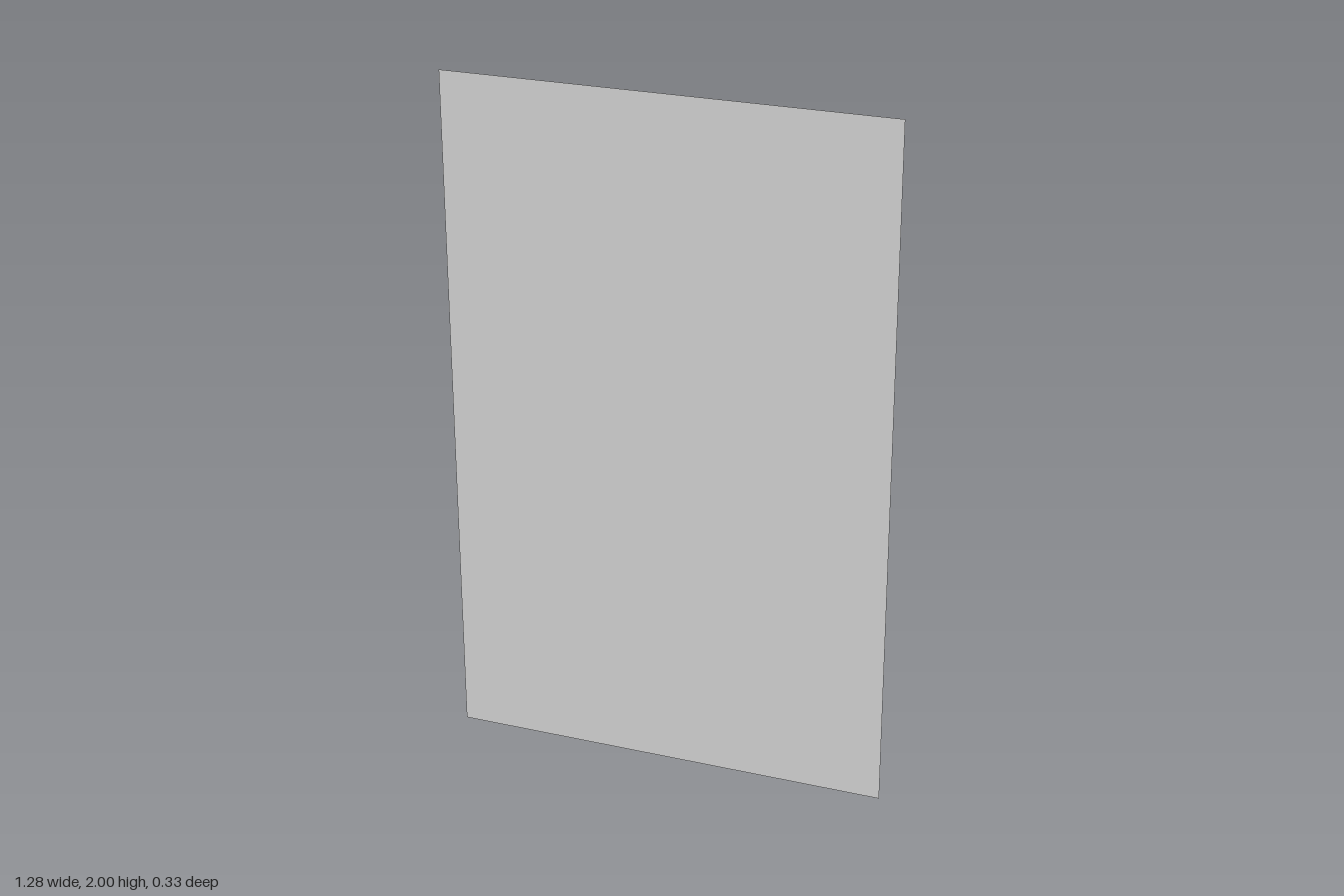
import * as THREE from 'three';

const mat = new THREE.MeshStandardMaterial({ color: 0xcccccc, side: THREE.DoubleSide });
const V = (a) => new THREE.Vector3(...a);

function add(parent, name, geo, pos = [0, 0, 0]) {
  const m = new THREE.Mesh(geo, mat);
  m.name = name;
  m.position.set(...pos);
  parent.add(m);
  return m;
}
const box = (p, name, size, pos) => add(p, name, new THREE.BoxGeometry(...size), pos);

// straight square or round bar between two points
function bar(parent, name, a, b, r, sides = 8) {
  const p = V(a), d = V(b).sub(p);
  const m = add(parent, name, new THREE.CylinderGeometry(r, r, d.length(), sides));
  m.position.copy(p).addScaledVector(d, 0.5);
  m.quaternion.setFromUnitVectors(new THREE.Vector3(0, 1, 0), d.normalize());
  return m;
}
const tube = (parent, name, pts, r) =>
  add(parent, name, new THREE.TubeGeometry(new THREE.CatmullRomCurve3(pts.map(V)), 16, r, 6));

function polygon(pts) {
  return new THREE.Shape(pts.map((p) => new THREE.Vector2(...p)));
}
function punch(shape, xs, ys, r) {
  for (const x of xs) for (const y of ys) {
    const h = new THREE.Path();
    h.absarc(x, y, r, 0, Math.PI * 2, true);
    shape.holes.push(h);
  }
}
const extrude = (shape, depth) =>
  new THREE.ExtrudeGeometry(shape, { depth, bevelEnabled: false, curveSegments: 8 });

// tyre, rim and spokes with the axle along x
function wheel() {
  const g = new THREE.Group();
  g.name = 'wheel';
  const lathe = (name, pts, seg, start = 0, len = Math.PI * 2) =>
    add(g, name, new THREE.LatheGeometry(pts.map((p) => new THREE.Vector2(...p)), seg, start, len).rotateZ(Math.PI / 2));
  lathe('tyre', [[0.082, -0.078], [0.09, -0.083], [0.102, -0.082], [0.109, -0.075], [0.113, -0.05], [0.115, 0],
    [0.113, 0.05], [0.109, 0.075], [0.102, 0.082], [0.09, 0.083], [0.082, 0.078]], 40);
  lathe('rim', [[0.082, -0.078], [0.076, -0.074], [0.073, -0.05], [0.073, 0.05], [0.076, 0.074], [0.082, 0.078]], 32);
  lathe('hub', [[0, -0.08], [0.016, -0.08], [0.022, -0.06], [0.022, 0.06], [0.016, 0.08], [0, 0.08]], 16);
  lathe('rimDisc', [[0, 0], [0.074, 0]], 32);
  for (const x of [-0.055, 0.055]) for (let i = 0; i < 6; i++) for (const s of [-0.14, 0.14]) {
    const a = i * Math.PI / 3 + s, b = i * Math.PI / 3 + s * 1.6;
    bar(g, 'spoke', [x, 0.018 * Math.cos(a), 0.018 * Math.sin(a)],
      [x * 1.1, 0.076 * Math.cos(b), 0.076 * Math.sin(b)], 0.005, 6);
  }
  lathe('fender', [[0.115, -0.09], [0.121, -0.08], [0.125, -0.04], [0.126, 0], [0.125, 0.04], [0.121, 0.08], [0.115, 0.09]],
    14, Math.PI - 0.96, 1.92);
  return g;
}

// one wheel with its fork, pivot post and links to the chassis
function wheelUnit() {
  const g = new THREE.Group();
  g.name = 'wheelUnit';
  const w = wheel();
  w.position.set(0.343, 0, 0.05);
  g.add(w);
  bar(g, 'axle', [0.24, 0, 0.05], [0.445, 0, 0.05], 0.009, 10);
  for (const x of [0.245, 0.438]) {
    for (const s of [-1, 1]) {
      tube(g, 'forkArm', [[x, 0, 0.05], [x, 0.045 * s, 0.02], [x, 0.065 * s, -0.03], [x, 0.045 * s, -0.075]], 0.007);
      bar(g, 'forkBrace', [x, 0.05 * s, -0.075], [0.343, 0.012 * s, -0.1], 0.006);
    }
    box(g, 'forkPlate', [0.012, 0.04, 0.13], [x, 0, -0.005]);
    box(g, 'forkTop', [0.014, 0.11, 0.014], [x, 0, -0.075]);
  }
  box(g, 'yoke', [0.2, 0.024, 0.016], [0.3415, 0, -0.087]);
  // pivot post over the wheel
  const post = (r, z0, z1) => bar(g, 'pivotPost', [0.343, 0, z0], [0.343, 0, z1], r, 12);
  post(0.02, -0.07, -0.11);
  post(0.012, -0.1, -0.138);
  post(0.022, -0.13, -0.142);
  // links down to the chassis
  for (const y of [-0.03, 0.03]) {
    tube(g, 'upperLink', [[0.343, y * 0.4, -0.132], [0.3, y * 0.6, -0.13], [0.24, y, -0.08], [0.2, y, -0.01]], 0.006);
    bar(g, 'lowerLink', [0.242, y * 0.5, 0.045], [0.195, y, -0.015], 0.006);
  }
  box(g, 'linkMount', [0.025, 0.09, 0.03], [0.2, 0, -0.015]);
  return g;
}

// folded side step: perforated middle with bent ends
function sideStep(name) {
  const g = new THREE.Group();
  g.name = name;
  const h = 0.115, t = 0.008;
  const s = polygon([[0, -0.09], [h, -0.09], [h, 0.1], [0, 0.1]]);
  punch(s, [0.028, 0.058, 0.088], [-0.068, -0.032, 0.005, 0.042, 0.078], 0.009);
  add(g, 'stepPlate', extrude(s, t).rotateY(Math.PI / 2), [0.018, 0, 0]);
  const slab = (a, b, z0) => {
    const dx = b[0] - a[0], dy = b[1] - a[1];
    const m = box(g, 'stepFlap', [t, Math.hypot(dx, dy) + 0.004, h - z0], [(a[0] + b[0]) / 2, (a[1] + b[1]) / 2, -(h + z0) / 2]);
    m.rotation.z = -Math.atan2(dx, dy);
  };
  slab([0.004, -0.165], [0.004, -0.12], 0.01);
  slab([0.004, -0.12], [0.022, -0.09], 0);
  slab([0.022, 0.1], [0.004, 0.125], 0);
  slab([0.004, 0.125], [0.004, 0.16], 0.02);
  for (const y of [-0.1, 0.1]) bar(g, 'stepHinge', [0, y - 0.02, 0], [0, y + 0.02, 0], 0.009);
  g.rotation.y = -0.4;
  return g;
}

export function createModel() {
  const root = new THREE.Group();
  root.name = 'trailerOnGround';

  // ground sheet the wheels rest on
  add(root, 'groundSheet', new THREE.PlaneGeometry(1.28, 2), [0, 1, 0.165]);

  // deck and frame
  box(root, 'deck', [0.39, 0.97, 0.018], [0, 1.035, -0.014]);
  for (const y of [0.56, 1.51]) box(root, 'deckEnd', [0.4, 0.025, 0.03], [0, y, -0.018]);
  for (const y of [0.77, 1.1]) box(root, 'deckSeam', [0.39, 0.008, 0.004], [0, y, -0.023]);
  for (const x of [-0.17, 0.17]) box(root, 'frameRail', [0.03, 0.94, 0.05], [x, 1.035, 0.02]);
  for (const y of [0.62, 1.01, 1.413]) box(root, 'crossBeam', [0.34, 0.05, 0.04], [0, y, 0.015]);
  for (const y of [0.87, 1.13]) {
    bar(root, 'driveUnit', [0, y - 0.07, 0.038], [0, y + 0.07, 0.038], 0.042, 20);
    bar(root, 'driveUnitCap', [0, y - 0.09, 0.038], [0, y + 0.09, 0.038], 0.025, 16);
  }

  // wheels and side steps, mirrored left and right
  for (const s of [1, -1]) {
    const side = new THREE.Group();
    side.name = s > 0 ? 'leftSide' : 'rightSide';
    for (const y of [0.62, 1.01, 1.413]) {
      const u = wheelUnit();
      u.position.y = y;
      side.add(u);
    }
    for (const y of [0.795, 1.225]) {
      const step = sideStep('sideStep');
      step.position.set(0.2, y, -0.05);
      side.add(step);
    }
    // loading ramp: thick hinged root, thin tapering tip
    const rootPart = polygon([[-0.028, 1.515], [0.0, 1.515], [0.065, 1.65], [0.052, 1.665], [0.018, 1.64]]);
    const tip = polygon([[0.05, 1.655], [0.066, 1.65], [0.165, 1.862], [0.163, 1.866]]);
    for (const [n, sh] of [['rampRoot', rootPart], ['rampTip', tip]]) {
      // profile (z, y) swept across x
      add(side, n, extrude(sh, 0.143).rotateY(-Math.PI / 2), [0.2, 0, 0]);
    }
    bar(side, 'rampHinge', [0.06, 1.52, -0.015], [0.2, 1.52, -0.015], 0.014, 10);
    bar(side, 'rampFold', [0.075, 1.653, 0.049], [0.185, 1.653, 0.049], 0.006);
    // hitch frame rail
    box(side, 'hitchRail', [0.014, 0.31, 0.018], [0.13, 0.405, -0.01]);
    bar(side, 'hitchArm', [0.13, 0.255, -0.01], [0.008, 0.155, -0.01], 0.009);
    // bulkhead bracket
    box(side, 'bulkheadBracket', [0.035, 0.03, 0.035], [0.135, 0.585, -0.04]);
    side.scale.x = s;
    root.add(side);
  }

  // perforated bulkhead with a centre notch
  const b = polygon([[-0.19, 0], [0.19, 0], [0.2, 0.012], [0.2, 0.1], [0.19, 0.113], [0.0125, 0.113], [0.0125, 0.03],
    [-0.0125, 0.03], [-0.0125, 0.113], [-0.19, 0.113], [-0.2, 0.1], [-0.2, 0.012]]);
  punch(b, [-0.145, -0.108, -0.07, -0.033, 0.033, 0.07, 0.108, 0.145], [0.035, 0.065, 0.093], 0.009);
  const bulkhead = add(root, 'bulkhead', extrude(b, 0.012), [0, 0.582, -0.056]);
  bulkhead.rotation.x = -(Math.PI / 2 + 0.31);

  // hitch cross bars, coupling and jack
  for (const y of [0.26, 0.36, 0.46]) box(root, 'hitchCrossBar', [0.26, 0.012, 0.014], [0, y, -0.01]);
  box(root, 'hitchCoupling', [0.028, 0.05, 0.02], [0, 0.153, -0.01]);
  bar(root, 'jackLeg', [0, 0.19, -0.02], [0, 0.19, 0.1], 0.006);
  bar(root, 'jackFoot', [0, 0.19, 0.097], [0, 0.19, 0.104], 0.015, 12);
  return root;
}
